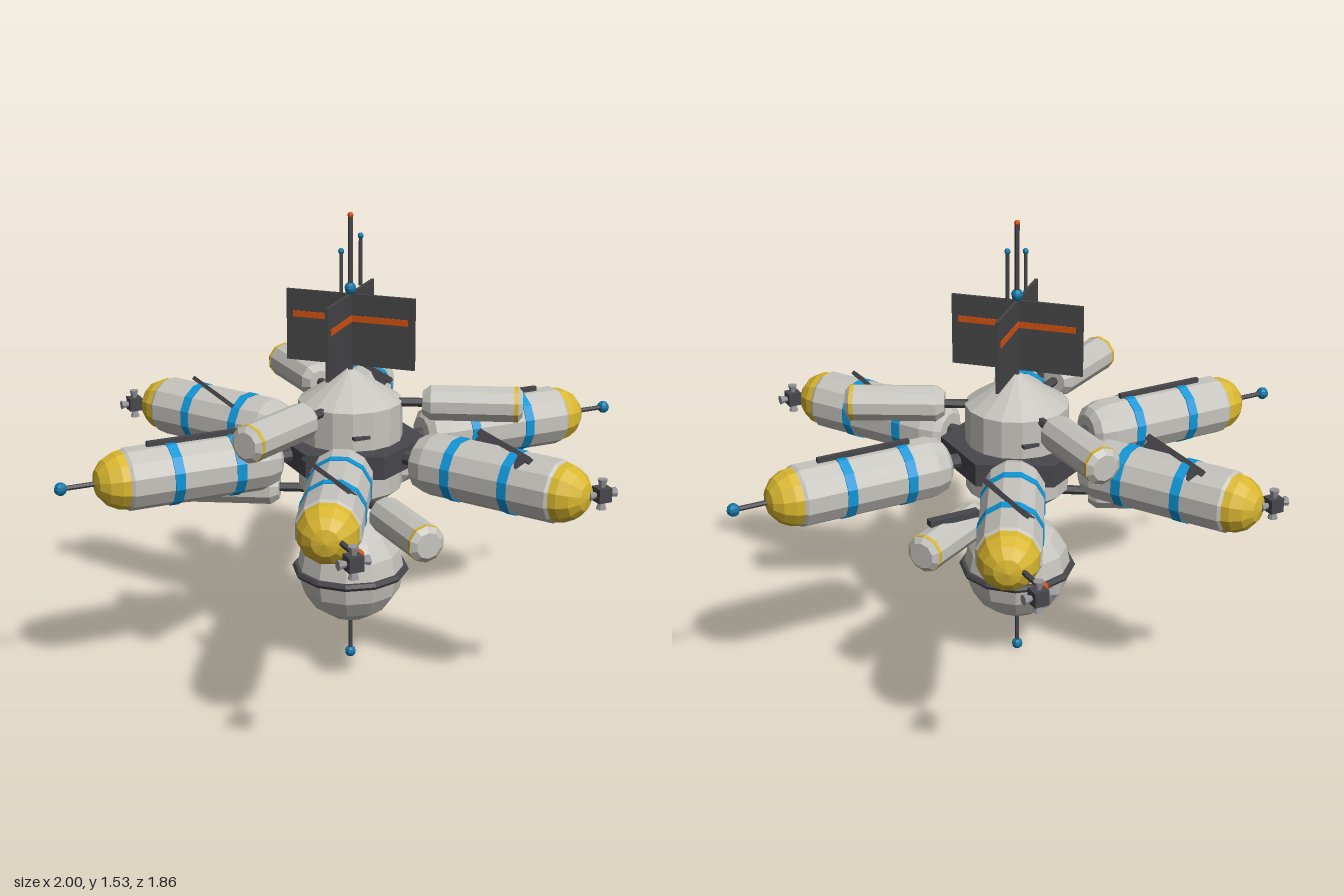
import * as THREE from 'three';

const mat = (name, color) => {
  const m = new THREE.MeshStandardMaterial({ color, flatShading: true });
  m.name = name;
  return m;
};

export function createModel() {
  const M = {
    hull: mat('hull grey', 0xc6c4be),
    yellow: mat('yellow', 0xd9b730),
    blue: mat('stripe blue', 0x0f97d8),
    beacon: mat('beacon blue', 0x0f76a6),
    dark: mat('dark grey', 0x47474c),
    panel: mat('panel grey', 0x454547),
    orange: mat('orange', 0xd2500f),
    metal: mat('nozzle metal', 0x96969a),
  };
  const root = new THREE.Group();
  root.name = 'spaceStation';

  const add = (parent, name, geo, material, x = 0, y = 0, z = 0) => {
    const m = new THREE.Mesh(geo, material);
    m.name = name;
    m.position.set(x, y, z);
    parent.add(m);
    return m;
  };
  const group = (parent, name, x = 0, y = 0, z = 0) => {
    const g = new THREE.Group();
    g.name = name;
    g.position.set(x, y, z);
    parent.add(g);
    return g;
  };
  const lathe = (pts, sides) => new THREE.LatheGeometry(pts.map(p => new THREE.Vector2(p[0], p[1])), sides);
  // same as lathe, but the profile runs along +x
  const latheX = (pts, sides) => lathe(pts, sides).rotateY(Math.PI / sides).rotateZ(-Math.PI / 2);
  const rod = (r, from, to, sides = 6) =>
    new THREE.CylinderGeometry(r, r, to - from, sides).translate(0, (from + to) / 2, 0);
  const rodX = (r, from, to, sides = 6) => rod(r, from, to, sides).rotateZ(-Math.PI / 2);
  const ball = r => new THREE.SphereGeometry(r, 8, 6);

  // central core and hexagonal docking ring
  add(root, 'core', lathe([[0, 0.5], [0.02, 0.51], [0.17, 0.63], [0.17, 0.92], [0.015, 1.02], [0, 1.02]], 16), M.hull);
  add(root, 'dockingRing', new THREE.CylinderGeometry(0.25, 0.25, 0.075, 6), M.dark, 0, 0.757, 0);
  for (const s of [-1, 1])
    add(root, 'coreHandrail', new THREE.BoxGeometry(0.055, 0.01, 0.02), M.dark, -0.04 * s, 0.84, 0.165 * s);

  // lower spherical tank with belt and probe
  add(root, 'tank', new THREE.SphereGeometry(0.18, 12, 8), M.hull, 0, 0.33, 0);
  add(root, 'tankBelt', new THREE.TorusGeometry(0.183, 0.013, 6, 12).rotateX(Math.PI / 2), M.dark, 0, 0.33, 0);
  add(root, 'lowerProbe', rod(0.007, 0.02, 0.17), M.dark);
  add(root, 'lowerBeacon', ball(0.019), M.beacon, 0, 0.019, 0);

  // crossed panels with an orange stripe on each side
  for (const a of [Math.PI / 4, -Math.PI / 4]) {
    const g = group(root, 'crossPanel', 0, 1.153, 0);
    g.rotation.y = a;
    add(g, 'panel', new THREE.BoxGeometry(0.435, 0.235, 0.01), M.panel);
    for (const s of [-1, 1])
      for (const z of [-1, 1])
        add(g, 'panelStripe', new THREE.BoxGeometry(0.19, 0.02, 0.004), M.orange, 0.1 * s, 0.037, 0.006 * z);
  }

  // mast and antennas
  add(root, 'mast', rod(0.008, 1.0, 1.525), M.dark);
  add(root, 'mastBeacon', ball(0.02), M.beacon, 0, 1.288, 0);
  add(root, 'mastTip', ball(0.01), M.orange, 0, 1.523, 0);
  for (const [x, z, top] of [[-0.045, 0.027, 1.417], [0.05, -0.03, 1.447]]) {
    add(root, 'antenna', rod(0.006, 1.285, top), M.dark, x, 0, z);
    add(root, 'antennaTip', ball(0.01), M.beacon, x, top, z);
  }

  // thruster block with four nozzles
  const thruster = (x, z) => {
    const g = group(root, 'thruster', x, 0.76, z);
    add(g, 'thrusterBlock', new THREE.BoxGeometry(0.045, 0.045, 0.045), M.dark);
    for (let i = 0; i < 4; i++) {
      const n = add(g, 'nozzle', new THREE.CylinderGeometry(0.016, 0.008, 0.028, 8).translate(0, 0.034, 0), M.metal);
      n.rotation.z = i * Math.PI / 2;
    }
  };

  // six large modules around the ring
  for (let i = 0; i < 6; i++) {
    const a = i * Math.PI / 3;
    const g = group(root, 'module', 0, 0.76, 0);
    g.rotation.y = a;
    add(g, 'moduleStrut', rodX(0.025, 0.2, 0.28, 8), M.dark);
    add(g, 'moduleHull', latheX([[0, 0.262], [0.06, 0.262], [0.085, 0.28], [0.1, 0.325], [0.1, 0.77], [0.09, 0.785], [0, 0.785]], 12), M.hull);
    add(g, 'moduleCap', latheX([[0.094, 0.78], [0.09, 0.805], [0.072, 0.84], [0.042, 0.865], [0, 0.874]], 12), M.yellow);
    for (const x of [0.42, 0.625])
      add(g, 'moduleStripe', latheX([[0.1, x - 0.016], [0.103, x - 0.016], [0.103, x + 0.016], [0.1, x + 0.016]], 12), M.blue);

    // rail on top: in line on the side modules, skewed and rolled on the others
    const r = group(root, 'moduleRail', 0.545 * Math.cos(a), 0.845, -0.545 * Math.sin(a));
    const side = i % 3 === 0;
    if (!side) {
      r.position.x += 0.018 * Math.sign(r.position.x);
      r.rotation.set(0, Math.PI / 2, 0);
    }
    const roll = group(r, 'railRoll');
    if (!side) roll.rotation.x = 0.85 * Math.sign(Math.cos(a));
    add(roll, 'railBar', new THREE.BoxGeometry(0.31, 0.02, 0.014), M.dark, 0, 0.018, 0);
    for (const x of [-0.085, 0.085])
      add(roll, 'railPlate', new THREE.BoxGeometry(0.1, 0.055, 0.014), M.dark, x, 0, 0);
  }

  // tip equipment: beacons on the side modules, thrusters on the rest
  for (const s of [-1, 1]) {
    add(root, 'sideProbe', rodX(0.008, 0.86, 0.975), M.dark, 0, 0.76, 0).rotation.y = s > 0 ? 0 : Math.PI;
    add(root, 'sideBeacon', ball(0.021), M.beacon, 0.979 * s, 0.76, 0);
    add(root, 'tipProbe', new THREE.CylinderGeometry(0.009, 0.009, 0.14, 6).rotateX(Math.PI / 2), M.dark, 0.39 * s, 0.76, -0.81 * s);
    add(root, 'tipBeacon', ball(0.021), M.orange, 0.39 * s, 0.76, -0.872 * s);
    thruster(0.42 * s, -0.908 * s);
    thruster(0.492 * s, 0.742 * s);
  }

  // six small pods between the modules, alternating high and low
  for (let i = 0; i < 6; i++) {
    const high = i % 2 === 1;
    const g = group(root, 'pod', 0, high ? 0.913 : 0.608, 0);
    g.rotation.y = Math.PI / 6 + i * Math.PI / 3;
    add(g, 'podStrut', rodX(0.015, 0.1, 0.25, 6), M.dark);
    add(g, 'podHull', latheX([[0, 0.235], [0.04, 0.235], [0.06, 0.262], [0.06, 0.53], [0, 0.53]], 10), M.hull);
    add(g, 'podBand', latheX([[0.06, 0.53], [0.061, 0.53], [0.061, 0.543], [0.056, 0.543]], 10), M.yellow);
    add(g, 'podEnd', latheX([[0.06, 0.543], [0.042, 0.558], [0, 0.558]], 10), M.hull);
  }

  // rails over the low rear pods
  for (const s of [-1, 1]) {
    add(root, 'podRail', new THREE.BoxGeometry(0.17, 0.02, 0.03), M.dark, 0.335 * s, 0.672, -0.205);
  }
  return root;
}
